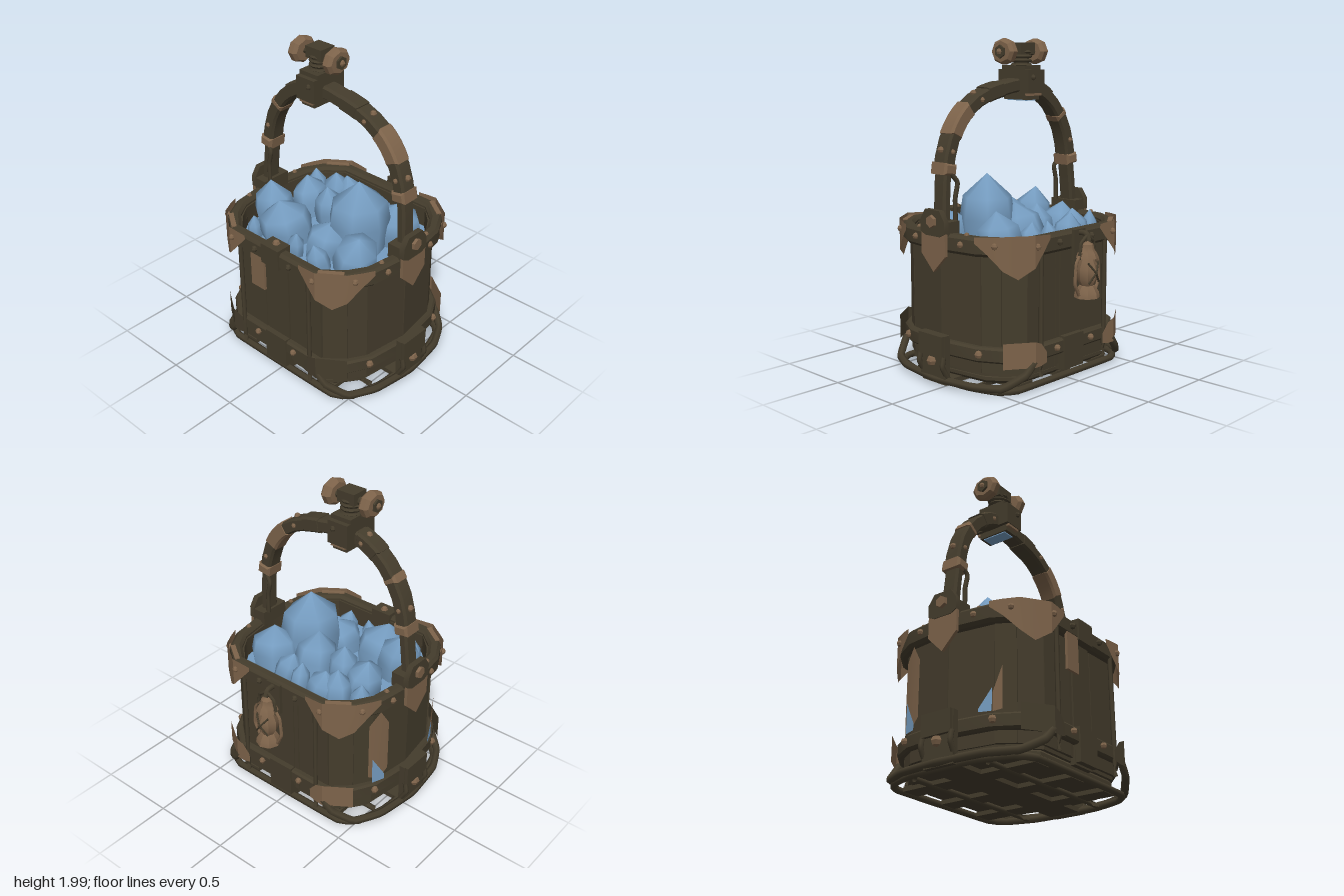
import * as THREE from 'three';
import { toCreasedNormals } from 'three/addons/utils/BufferGeometryUtils.js';

const CX = -0.075; // basket and handle centre line
const mat = (name, color, side = THREE.FrontSide) => {
  const m = new THREE.MeshStandardMaterial({ color, side });
  m.name = name;
  return m;
};

export function createModel() {
  const root = new THREE.Group();
  root.name = 'oreBasket';
  const iron = mat('darkIron', 0x443c2c, THREE.DoubleSide);
  const copper = mat('wornCopper', 0x7d634a, THREE.DoubleSide);
  const ore = mat('blueOre', 0x759cc0, THREE.DoubleSide);
  let seed = 7;
  const rnd = () => (seed = (seed * 16807) % 2147483647) / 2147483647;

  const add = (name, geo, m, x = 0, y = 0, z = 0, parent = root, crease = 0.6) => {
    const mesh = new THREE.Mesh(toCreasedNormals(geo, crease), m);
    mesh.name = name;
    mesh.position.set(x, y, z);
    parent.add(mesh);
    return mesh;
  };
  const box = (name, m, w, h, d, x, y, z, parent) => add(name, new THREE.BoxGeometry(w, h, d), m, x, y, z, parent);
  const bolt = (x, y, z, r = 0.02, m = copper) => add('bolt', new THREE.SphereGeometry(r, 6, 4), m, x, y, z);
  const tube = (name, pts, r, m, parent = root, closed = false) => {
    const c = new THREE.CatmullRomCurve3(pts.map(p => new THREE.Vector3(...p)), closed, 'catmullrom', 0.15);
    return add(name, new THREE.TubeGeometry(c, pts.length * 5, r, 6, closed), m, 0, 0, 0, parent, 1.2);
  };

  // Basket outline: straight sides, chamfered corners, bowed ends (relative to CX)
  const outline = (d = 0) => {
    const q = [[0.535 + d, 0.34], [0.43 + d * 0.8, 0.49 + d * 0.7], [0.28, 0.57 + d], [0, 0.61 + d]];
    const end = [...q, ...q.slice(0, 3).reverse().map(([x, z]) => [-x, z])];
    return [...end, ...end.map(([x, z]) => [-x, -z])];
  };
  const ring = (name, outer, inner, y0, y1, m, bevel = 0) => {
    const shape = new THREE.Shape(outline(outer - bevel).map(p => new THREE.Vector2(...p)));
    if (inner !== null) shape.holes.push(new THREE.Path(outline(inner + bevel).map(p => new THREE.Vector2(...p))));
    const geo = new THREE.ExtrudeGeometry(shape, {
      depth: y1 - y0 - 2 * bevel, bevelEnabled: bevel > 0, bevelSize: bevel, bevelThickness: bevel, bevelSegments: 1 });
    geo.rotateX(-Math.PI / 2);
    return add(name, geo, m, CX, y0 + bevel, 0);
  };
  ring('wall', -0.065, -0.085, 0.1, 0.88, iron);
  ring('floor', -0.08, null, 0.05, 0.11, iron, 0.02);
  ring('rim', 0, -0.075, 0.8, 0.91, iron, 0.018);
  ring('lowerBand', -0.01, -0.06, 0.19, 0.28, iron, 0.012);
  ring('oreBed', -0.088, null, 0.12, 0.76, ore);

  // Overlapping wall planks along every side of the outline
  const pts = outline(-0.065);
  pts.forEach((a, i) => {
    const b = pts[(i + 1) % pts.length];
    const len = Math.hypot(b[0] - a[0], b[1] - a[1]);
    const n = Math.max(1, Math.round(len / 0.2));
    for (let k = 0; k < n; k++) {
      const t = (k + 0.5) / n;
      const p = box('wallPlank', iron, len / n * 1.02, 0.7, 0.022 + 0.018 * rnd(),
        CX + a[0] + (b[0] - a[0]) * t, 0.47, a[1] + (b[1] - a[1]) * t);
      p.rotation.y = -Math.atan2(b[1] - a[1], b[0] - a[0]) + (rnd() - 0.5) * 0.06;
    }
  });

  // Plates wrapped round a corner: each point is [x, z, top, bottom]
  const wrap = (name, pl, m, sx, sz) => {
    const v = [], idx = [];
    pl.forEach(([x, z, t, b], i) => {
      v.push(CX + sx * x, t, sz * z, CX + sx * x, b, sz * z);
      if (i) {
        const k = i * 2;
        idx.push(...(sx * sz > 0 ? [k - 2, k, k - 1, k, k + 1, k - 1] : [k - 2, k - 1, k, k, k - 1, k + 1]));
      }
    });
    const g = new THREE.BufferGeometry();
    g.setAttribute('position', new THREE.Float32BufferAttribute(v, 3));
    g.setIndex(idx);
    return add(name, g, m);
  };
  for (const sx of [-1, 1]) for (const sz of [-1, 1]) {
    wrap('cornerCap', [[0.54, 0.22, 0.915, 0.89], [0.543, 0.28, 0.92, 0.82], [0.545, 0.35, 0.925, 0.74], [0.49, 0.43, 0.925, 0.68],
      [0.44, 0.5, 0.925, 0.73], [0.36, 0.545, 0.92, 0.82], [0.29, 0.576, 0.915, 0.88]], copper, sx, sz);
    const edge = box('capEdge', copper, 0.15, 0.008, 0.03, CX + sx * 0.468, 0.912, sz * 0.405);
    edge.rotation.y = sx * sz * 0.96;
    wrap('lowerBracket', [[0.545, 0.25, 0.24, 0.18], [0.548, 0.3, 0.3, 0.17], [0.55, 0.35, 0.32, 0.17],
      [0.445, 0.505, 0.32, 0.17]], sx > 0 ? copper : iron, sx, sz);
    // Side rails and bolts
    const X = CX + sx * 0.525;
    tube('sideRail', [[X, 0.1, sz * 0.28], [X, 0.85, sz * 0.28]], 0.014, iron);
    bolt(CX + sx * 0.54, 0.86, sz * 0.14, 0.02, iron);
    bolt(CX + sx * 0.545, 0.86, sz * 0.33);
    bolt(CX + sx * 0.535, 0.24, sz * 0.15);
    bolt(CX + sx * 0.3, 0.24, sz * 0.555, 0.024);
    bolt(CX + sx * 0.19, 0.86, sz * 0.585);
    bolt(CX + sx * 0.4, 0.87, sz * 0.525);
    bolt(CX + sx * 0.2, 0.91, sz * 0.545, 0.016);
  }
  // Worn patches and gaps in the back wall
  wrap('wornPatch', [[0.33, 0.525, 0.72, 0.34], [0.26, 0.555, 0.8, 0.3], [0.2, 0.57, 0.7, 0.36]], copper, 1, -1);
  wrap('wornPatch', [[0.34, 0.52, 0.55, 0.3], [0.29, 0.54, 0.4, 0.29]], copper, -1, -1);
  wrap('oreGap', [[0.31, 0.54, 0.47, 0.29], [0.23, 0.57, 0.33, 0.29]], ore, 1, -1);
  wrap('oreGap', [[0.29, 0.548, 0.42, 0.29], [0.22, 0.572, 0.31, 0.29]], ore, -1, -1);

  // Straps under the basket, turned up on the ends and sides
  for (const s of [-1, 1]) {
    box('endStrap', iron, 0.21, 0.28, 0.04, CX, 0.18, s * 0.615);
    box('strapClamp', iron, 0.2, 0.13, 0.03, CX, 0.255, s * 0.64);
    bolt(CX, 0.16, s * 0.64, 0.032);
    box('sideStrap', iron, 0.03, 0.72, 0.17, CX + s * 0.48, 0.44, 0);
    box('sideStrapFoot', iron, 0.035, 0.2, 0.17, CX + s * 0.515, 0.19, 0);
  }
  box('underStrap', iron, 0.2, 0.03, 1.25, CX, 0.04, 0);
  for (const z of [-0.33, 0, 0.33]) box('crossStrap', iron, 0.9, 0.03, 0.12, CX, 0.04, z);

  // Skid frame: a closed loop below, and bent tubes that rise at the corners
  const corner = [[0.475, 0.41], [0.4, 0.515], [0.2, 0.575]];
  const half = [...corner, ...corner.slice().reverse().map(([x, z]) => [-x, z])];
  tube('skidLoop', [...half, ...half.map(([x, z]) => [-x, -z])].map(([x, z]) => [CX + x, 0.035, z]), 0.022, iron, root, true);
  for (const s of [-1, 1]) {
    tube('endSkid', [[CX - 0.53, 0.2, s * 0.34], [CX - 0.52, 0.13, s * 0.4], [CX - 0.44, 0.06, s * 0.51], [CX - 0.28, 0.055, s * 0.59], [CX, 0.05, s * 0.625],
      [CX + 0.28, 0.055, s * 0.59], [CX + 0.44, 0.06, s * 0.51], [CX + 0.52, 0.13, s * 0.4], [CX + 0.53, 0.2, s * 0.34]], 0.024, iron);
    tube('bottomRail', [[CX + s * 0.25, 0.03, 0.52], [CX + s * 0.25, 0.03, -0.52]], 0.018, iron);
    for (const x of [-0.1, 0.1])
      tube('skidLink', [[CX + x, 0.2, s * 0.64], [CX + x, 0.14, s * 0.65], [CX + x, 0.05, s * 0.6]], 0.016, iron);
  }

  // Handle: bowed arch in the z-y plane
  const arch = new THREE.CatmullRomCurve3([[0.55, 0.92], [0.535, 1.24], [0.49, 1.42], [0.4, 1.56], [0.25, 1.66], [0.05, 1.71], [-0.12, 1.725],
    [-0.28, 1.67], [-0.41, 1.55], [-0.49, 1.4], [-0.525, 1.22], [-0.56, 0.92]].map(([z, y]) => new THREE.Vector3(z, y, 0)));
  const archPart = (name, t0, t1, n, thick, width, m) => {
    const out = [], inn = [];
    for (let i = 0; i <= n; i++) {
      const t = t0 + (t1 - t0) * i / n, p = arch.getPointAt(t), d = arch.getTangentAt(t);
      out.push(new THREE.Vector2(p.x + d.y * thick, p.y - d.x * thick));
      inn.unshift(new THREE.Vector2(p.x - d.y * thick, p.y + d.x * thick));
    }
    const g = new THREE.ExtrudeGeometry(new THREE.Shape([...out, ...inn]), {
      depth: width - 0.03, bevelThickness: 0.015, bevelSize: 0.012, bevelOffset: -0.012, bevelSegments: 1 });
    g.translate(0, 0, -width / 2 + 0.015).rotateY(-Math.PI / 2);
    add(name, g, m, CX, 0, 0);
  };
  archPart('handleLeg', 0, 0.16, 4, 0.028, 0.1, iron);
  archPart('handleLeg', 0.84, 1, 4, 0.028, 0.1, iron);
  archPart('handle', 0.14, 0.86, 16, 0.041, 0.11, iron);
  for (const [a, b, m] of [[0.24, 0.33, copper], [0.4, 0.46, iron], [0.58, 0.65, iron], [0.71, 0.73, copper]])
    archPart('handleSleeve', a, b, 4, 0.046, 0.116, m);
  for (const [a, b] of [[0.14, 0.17], [0.84, 0.87]]) archPart('handleClamp', a, b, 1, 0.046, 0.135, copper);
  for (const t of [0.2, 0.37, 0.6, 0.8]) {
    const p = arch.getPointAt(t), d = arch.getTangentAt(t);
    bolt(CX, p.y - d.x * 0.042, p.x + d.y * 0.042);
    for (const s of [-1, 1]) bolt(CX + s * 0.055, p.y, p.x, 0.016);
  }

  // Handle feet with shield plates
  for (const s of [-1, 1]) {
    const foot = new THREE.Group();
    foot.name = 'handleFoot';
    foot.rotation.y = s > 0 ? 0 : Math.PI;
    foot.position.set(CX, 0, s * 0.6);
    root.add(foot);
    const plate = (name, p, d, z, m) => add(name, new THREE.ExtrudeGeometry(new THREE.Shape(p.map(q => new THREE.Vector2(...q))),
      { depth: d, bevelEnabled: false }), m, 0, 0, z, foot);
    plate('shield', [[-0.1, 0.91], [-0.1, 0.78], [0, 0.68], [0.1, 0.78], [0.1, 0.91]], 0.02, 0, copper);
    plate('footPlate', [[-0.1, 0.91], [-0.06, 0.89], [0.06, 0.89], [0.1, 0.91], [0.1, 0.98], [0.06, 1.04], [-0.06, 1.04], [-0.1, 0.98]], 0.035, -0.01, iron);
    box('footBlock', iron, 0.2, 0.09, 0.09, 0, 0.93, -0.05, foot);
    add('footBolt', new THREE.CylinderGeometry(0.035, 0.04, 0.025, 6).rotateX(Math.PI / 2), copper, 0, 0.975, 0.03, foot);
    tube('footHook', [[0.05, 1.24, -0.08], [0.06, 1.19, -0.12], [0.06, 1.1, -0.1], [0.06, 0.97, -0.1]], 0.014, iron, foot);
  }

  // Pulley carriage on top of the handle
  const PZ = -0.11, WY = 1.922;
  box('carriageBlock', iron, 0.25, 0.14, 0.14, CX, 1.745, PZ);
  box('carriageCap', iron, 0.19, 0.04, 0.14, CX, 1.82, PZ);
  box('carriageKeeper', iron, 0.2, 0.05, 0.1, CX, 1.66, PZ);
  box('keeperUnderside', ore, 0.16, 0.006, 0.08, CX, 1.632, PZ);
  for (const s of [-1, 1]) {
    box('carriagePad', copper, 0.04, 0.05, 0.1, CX + s * 0.1, 1.685, PZ);
    bolt(CX + s * 0.125, 1.77, PZ + 0.03, 0.018, iron);
  }
  add('springCore', new THREE.CylinderGeometry(0.045, 0.05, 0.14, 8), iron, CX, 1.88, PZ);
  for (let i = 0; i < 5; i++)
    add('springCoil', new THREE.TorusGeometry(0.055, 0.011, 5, 10).rotateX(Math.PI / 2), iron, CX, 1.815 + i * 0.026, PZ);
  box('axleHousing', iron, 0.11, 0.07, 0.12, CX, 1.94, PZ);
  add('axle', new THREE.CylinderGeometry(0.025, 0.025, 0.34, 8).rotateX(Math.PI / 2), iron, CX, WY, PZ);
  for (const s of [-1, 1]) {
    const prof = [[0.02, -0.035], [0.062, -0.034], [0.078, -0.016], [0.078, 0.016], [0.062, 0.034], [0.02, 0.035]];
    const wheel = add('wheel', new THREE.LatheGeometry(prof.map(p => new THREE.Vector2(...p)), 8).rotateX(Math.PI / 2), copper, CX - 0.01, WY, PZ + s * 0.133);
    wheel.scale.x = 1.2;
    add('wheelHub', new THREE.CylinderGeometry(0.04, 0.04, 0.02, 6).rotateX(Math.PI / 2), iron, CX - 0.01, WY, PZ + s * 0.17);
    bolt(CX - 0.01, WY, PZ + s * 0.177, 0.02);
  }

  // Clip on the right-hand side rim
  box('rimClip', iron, 0.1, 0.13, 0.14, -0.57, 0.865, -0.01);
  box('clipStrap', copper, 0.016, 0.3, 0.11, -0.6, 0.74, -0.13);
  bolt(-0.56, 0.93, -0.01, 0.024);

  // Ore lumps: [x, z, radius, peak height, lean x, lean z]
  const lumps = [[-0.07, 0.19, 0.18, 1.21, 0, 0], [-0.25, -0.4, 0.125, 1.06, -0.1, -0.25], [-0.31, -0.18, 0.155, 1.03, -0.2, 0],
    [0.05, -0.33, 0.12, 1.0, 0, -0.2], [0.27, -0.29, 0.095, 0.98, 0.2, -0.2], [0.21, -0.42, 0.06, 0.95, 0, -0.1],
    [-0.41, -0.36, 0.05, 0.91, -0.1, 0], [0.29, -0.14, 0.095, 0.97, 0.2, 0], [0.16, 0.03, 0.14, 1.04, 0.25, 0],
    [0.32, 0, 0.06, 0.94, 0.2, 0], [-0.3, 0.08, 0.13, 0.98, -0.2, 0.05], [-0.41, -0.05, 0.055, 0.93, -0.2, 0],
    [-0.42, 0.2, 0.065, 0.93, -0.3, 0.1], [-0.27, 0.34, 0.14, 1.02, -0.15, 0.25], [0.19, 0.33, 0.145, 1.02, 0.15, 0.2],
    [0.29, 0.16, 0.08, 0.95, 0.3, 0], [0.04, -0.15, 0.1, 1.0, 0.05, -0.1]];
  lumps.forEach(([x, z, r, top, lx, lz]) => {
    const h = top - 0.68;
    const prof = [[0.001, 0], [r * 0.85, 0], [r * 1.02, h * 0.5], [r * 0.9, h * 0.74], [0.001, h]];
    const m = add('oreLump', new THREE.LatheGeometry(prof.map(p => new THREE.Vector2(...p)), 7), ore, x - lx * h * 0.6, 0.68, z - lz * h * 0.6, root, 1.05);
    m.rotation.set(lz, rnd() * 6, -lx);
    m.scale.set(1.05, 1, 0.92);
  });

  // Lantern hung on the left-hand side
  const lamp = new THREE.Group();
  lamp.name = 'lantern';
  lamp.position.set(0.55, 0, 0);
  root.add(lamp);
  const turned = (name, p, m) => add(name, new THREE.LatheGeometry(p.map(q => new THREE.Vector2(...q)), 8), m, 0, 0, 0, lamp);
  turned('lanternBase', [[0, 0.53], [0.075, 0.53], [0.07, 0.56], [0.045, 0.6], [0, 0.61]], copper);
  turned('lanternGlass', [[0.04, 0.6], [0.062, 0.64], [0.065, 0.7], [0.04, 0.76]], copper);
  turned('lanternCap', [[0, 0.75], [0.066, 0.76], [0.055, 0.79], [0.04, 0.81], [0.035, 0.84], [0, 0.86]], copper);
  for (const s of [-1, 1]) {
    tube('lanternGuard', [[0, 0.55, s * 0.07], [0, 0.62, s * 0.105], [0, 0.74, s * 0.095], [0, 0.8, s * 0.05]], 0.01, copper, lamp);
    tube('lanternWire', [[0.05, 0.62, -s * 0.045], [0.068, 0.68, 0], [0.045, 0.74, s * 0.045]], 0.006, iron, lamp);
  }
  tube('lanternBail', [[0, 0.76, 0.07], [0, 0.85, 0.055], [0, 0.89, 0], [0, 0.85, -0.055], [0, 0.76, -0.07]], 0.01, iron, lamp);
  tube('lanternHook', [[-0.1, 0.85, 0], [-0.06, 0.9, 0], [-0.01, 0.9, 0], [0.01, 0.86, 0]], 0.016, iron, lamp);
  box('lanternBracket', iron, 0.02, 0.2, 0.1, -0.065, 0.82, 0, lamp);
  return root;
}
